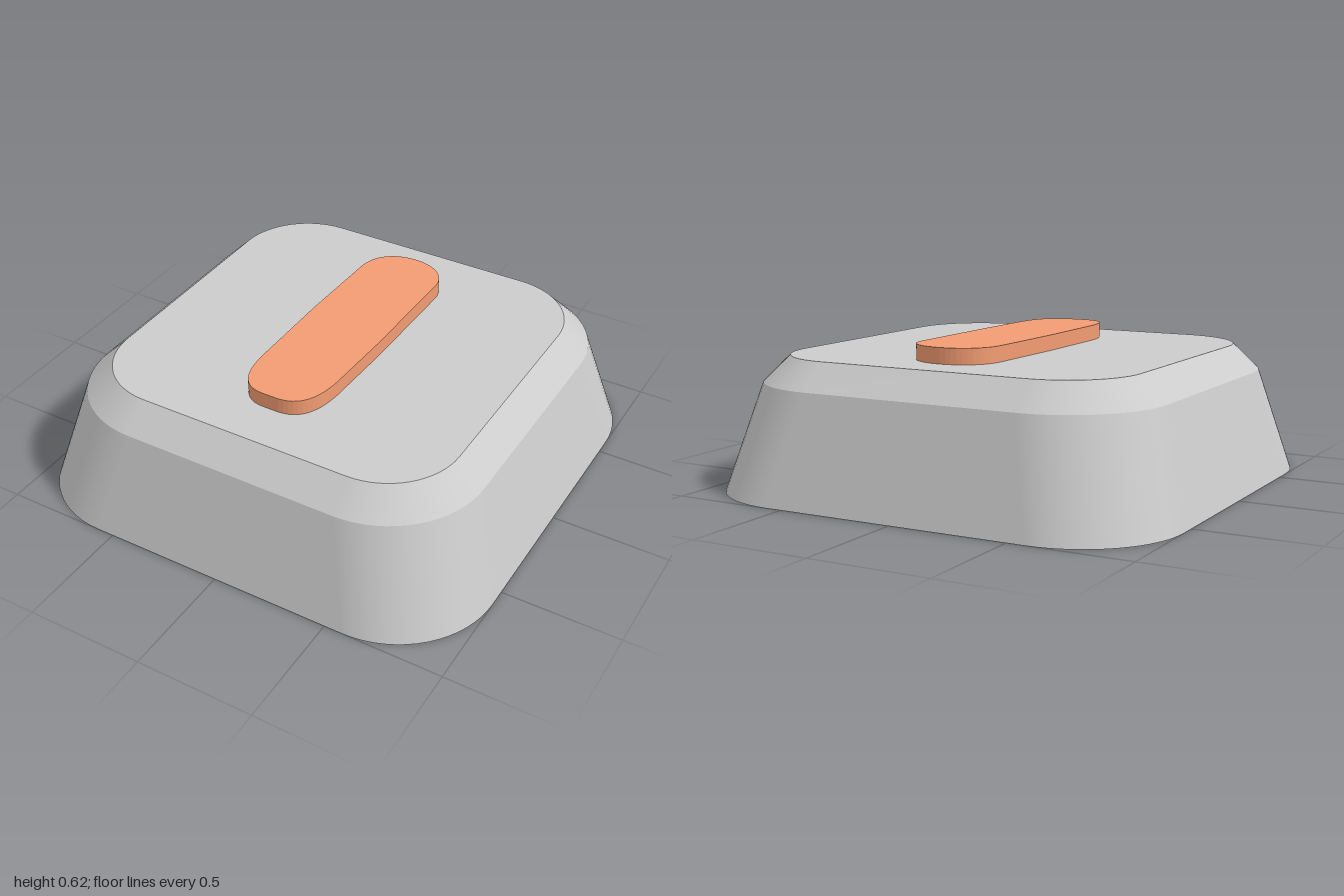
import * as THREE from 'three';

const GREY = new THREE.MeshStandardMaterial({ color: 0xcccccc });
const ORANGE = new THREE.MeshStandardMaterial({ color: 0xf29c72 });
const CORNER = 16; // segments per rounded corner
const CEILING = 0.445;

// Rounded-square ring: half-width h, corner radius r, height y
function ring([h, r, y]) {
  const points = [];
  for (let c = 0; c < 4; c++) {
    const mid = (c + 0.5) * Math.PI / 2;
    const cx = Math.sign(Math.cos(mid)) * (h - r);
    const cz = Math.sign(Math.sin(mid)) * (h - r);
    for (let i = 0; i <= CORNER; i++) {
      const a = (c + i / CORNER) * Math.PI / 2;
      points.push(cx + r * Math.cos(a), y, cz + r * Math.sin(a));
    }
  }
  return points;
}

// Surface between two rings, smooth around and sharp at its borders
function band(lower, upper) {
  const a = ring(lower), b = ring(upper), n = a.length / 3, index = [];
  for (let i = 0; i < n; i++) {
    const j = (i + 1) % n;
    index.push(i, n + i, j, j, n + i, n + j);
  }
  const geo = new THREE.BufferGeometry();
  geo.setAttribute('position', new THREE.Float32BufferAttribute([...a, ...b], 3));
  geo.setIndex(index);
  geo.computeVertexNormals();
  return geo;
}

function add(parent, name, geo, material = GREY) {
  const mesh = new THREE.Mesh(geo, material);
  mesh.name = name;
  parent.add(mesh);
  return mesh;
}

// Extrude a plan shape (drawn with y = -z) upward from y0
function extrudeUp(shape, y0, height) {
  const geo = new THREE.ExtrudeGeometry(shape, { depth: height, bevelEnabled: false, curveSegments: 12 });
  return geo.rotateX(-Math.PI / 2).translate(0, y0, 0);
}

export function createModel() {
  const model = new THREE.Group();

  // Hollow cap: from ceiling centre, down the inside, round the rim, up the outside
  const cap = new THREE.Group();
  cap.name = 'cap';
  model.add(cap);
  const profile = [
    [0, 0, CEILING], [0.61, 0.2, CEILING], [0.715, 0.26, 0.345], [0.77, 0.275, 0],
    [1, 0.425, 0], [0.88, 0.415, 0.447], [0.77, 0.31, 0.555], [0, 0, 0.555],
  ];
  const names = ['ceiling', 'innerBevel', 'innerWall', 'rim', 'outerWall', 'topBevel', 'topFace'];
  names.forEach((name, i) => add(cap, name, band(profile[i], profile[i + 1])));

  // Raised bar on top
  const bar = new THREE.Shape();
  bar.moveTo(0.195, 0.46);
  bar.bezierCurveTo(0.19, 0.55, 0.11, 0.6, 0.02, 0.6);
  bar.bezierCurveTo(-0.08, 0.6, -0.157, 0.54, -0.16, 0.43);
  bar.lineTo(-0.17, 0.05);
  bar.lineTo(-0.168, -0.36);
  bar.bezierCurveTo(-0.165, -0.5, -0.12, -0.57, -0.03, -0.57);
  bar.lineTo(0.04, -0.57);
  bar.bezierCurveTo(0.13, -0.565, 0.175, -0.5, 0.183, -0.36);
  bar.lineTo(0.193, -0.05);
  bar.closePath();
  add(model, 'raisedBar', extrudeUp(bar, 0.55, 0.07), ORANGE);

  // Lobed stem with a cross-shaped socket
  const turn = (x, y, k) => {
    const p = new THREE.Vector2(x, y).rotateAround(new THREE.Vector2(), k * Math.PI / 2);
    return [p.x, p.y];
  };
  const stem = new THREE.Shape(), socket = new THREE.Path();
  stem.moveTo(0.2, -0.2);
  socket.moveTo(0.07, -0.07);
  for (let k = 0; k < 4; k++) {
    stem.quadraticCurveTo(...turn(0.31, -0.18, k), ...turn(0.315, -0.11, k));
    stem.lineTo(...turn(0.315, 0.11, k));
    stem.quadraticCurveTo(...turn(0.31, 0.18, k), ...turn(0.2, 0.2, k));
    socket.lineTo(...turn(0.23, -0.07, k));
    socket.lineTo(...turn(0.23, 0.07, k));
    socket.lineTo(...turn(0.07, 0.07, k));
  }
  stem.holes.push(socket);
  add(model, 'stem', extrudeUp(stem, 0, CEILING));

  // Two crossing ribs under the ceiling, split at the stem, ending in the inner bevel
  for (let k = 0; k < 4; k++) {
    const geo = new THREE.BoxGeometry(0.4, 0.07, 0.15).translate(0.49, 0.425, 0);
    add(model, 'rib', geo).rotation.y = k * Math.PI / 2;
  }
  return model;
}
